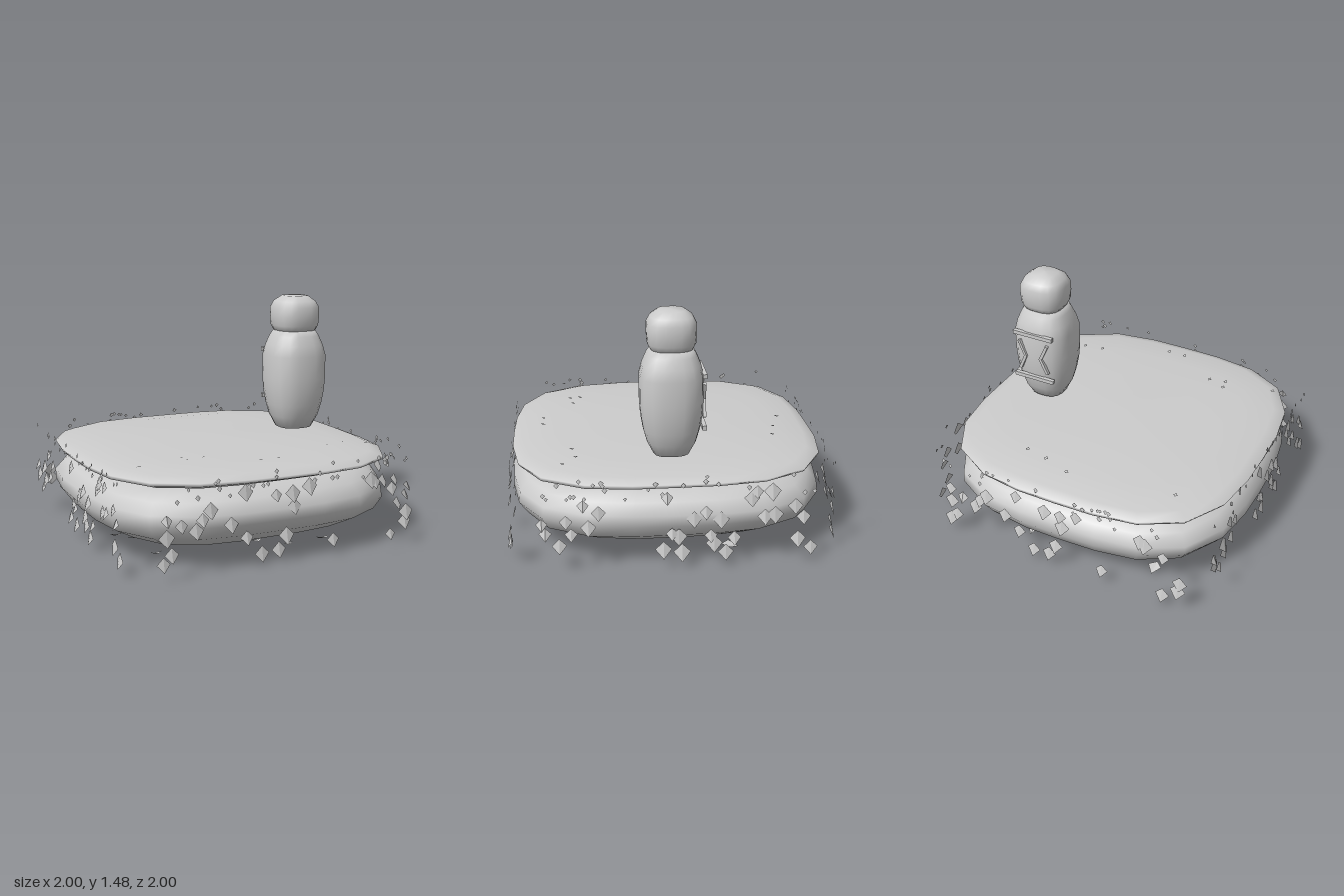
import * as THREE from 'three';

const material = new THREE.MeshStandardMaterial({ color: 0xcccccc });
const thinMaterial = new THREE.MeshStandardMaterial({ color: 0xcccccc, side: THREE.DoubleSide });

let seed = 7;
const rand = (a, b) => {
  seed = (seed * 16807) % 2147483647;
  return a + (b - a) * (seed / 2147483647);
};

// Rounded-square cross-sections stacked along y; profile rows are [radius, y].
function loft(name, profile, sides, power, lump = 0) {
  const pos = [], idx = [];
  profile.forEach(([r, y], i) => {
    for (let j = 0; j < sides; j++) {
      const a = (j / sides) * Math.PI * 2, c = Math.cos(a), s = Math.sin(a);
      const k = r * (Math.abs(c) ** power + Math.abs(s) ** power) ** (-1 / power)
        * (1 + lump * Math.sin(3 * a + i * 1.3));
      pos.push(k * c, y, -k * s);
      if (i === 0) continue;
      const n = (j + 1) % sides, lo = (i - 1) * sides, hi = i * sides;
      idx.push(lo + j, lo + n, hi + n, lo + j, hi + n, hi + j);
    }
  });
  const geo = new THREE.BufferGeometry();
  geo.setAttribute('position', new THREE.Float32BufferAttribute(pos, 3));
  geo.setIndex(idx);
  geo.computeVertexNormals();
  const mesh = new THREE.Mesh(geo, material);
  mesh.name = name;
  return mesh;
}

// Bent kites lying on a plane, with the lower corner lifted along the normal.
function shards(name, items) {
  const pos = [];
  for (const { at, normal, up, size, lift } of items) {
    const side = new THREE.Vector3().crossVectors(up, normal);
    const point = (s, u, n) => at.clone().addScaledVector(side, s * size)
      .addScaledVector(up, u * size).addScaledVector(normal, n);
    const top = point(0, 1, 0), left = point(-1, 0, 0), right = point(1, 0, 0), tip = point(0, -1.1, lift);
    for (const p of [top, left, tip, top, tip, right]) pos.push(p.x, p.y, p.z);
  }
  const geo = new THREE.BufferGeometry();
  geo.setAttribute('position', new THREE.Float32BufferAttribute(pos, 3));
  geo.computeVertexNormals();
  const mesh = new THREE.Mesh(geo, thinMaterial);
  mesh.name = name;
  return mesh;
}

function bar(name, a, b, thickness) {
  const from = new THREE.Vector3(...a), to = new THREE.Vector3(...b);
  const mesh = new THREE.Mesh(new THREE.BoxGeometry(thickness, from.distanceTo(to) + thickness * 0.6, thickness), material);
  mesh.position.copy(from).lerp(to, 0.5);
  mesh.quaternion.setFromUnitVectors(new THREE.Vector3(0, 1, 0), to.sub(from).normalize());
  mesh.name = name;
  return mesh;
}

// Large shard centres as [across, height] pairs for two neighbouring walls.
const FRONT = [[-.76, .35], [-.67, .31], [-.58, .27], [-.54, .33], [-.49, .38], [-.36, .28], [-.27, .46],
  [-.26, .19], [-.16, .08], [-.05, .09], [0, .17], [-.07, .42], [.04, .42], [.05, .34], [.15, .45], [.32, .1],
  [.58, .44], [.61, .42], [.73, .37], [.84, .21], [.83, .15], [.73, .08], [-.73, .15], [-.78, .1], [-.76, .25]];
const SIDE = [[.79, .31], [.77, .25], [.69, .17], [.65, .32], [.62, .24], [.55, .42], [.52, .28], [.46, .37],
  [.06, .45], [.03, .22], [-.01, .2], [.08, .12], [-.03, .1], [-.1, .31], [-.17, .35], [-.26, .3], [-.2, .2],
  [-.22, .15], [-.34, .18], [-.29, .09], [-.44, .43], [-.47, .47], [-.56, .47], [-.52, .31], [-.58, .32],
  [-.7, .37], [-.75, .3], [-.72, .16], [-.8, .1]];
const TOP = [[-.66, -.66], [.03, -.76], [.21, -.7], [.36, -.67], [-.47, .53], [-.46, .6], [-.35, .58],
  [-.79, .64], [-.07, .78], [.05, .78], [.5, .6], [.63, .58], [.74, .66]];

export function createModel() {
  const model = new THREE.Group();
  model.name = 'stoneIsland';

  // Two cushion-shaped slabs
  model.add(loft('rockBase', [[0, .04], [.56, .04], [.78, .1], [.92, .18], [.97, .26], [.97, .33],
    [.92, .4], [.82, .45], [.6, .47], [0, .47]], 24, 3.3, 0.008));
  model.add(loft('turfSlab', [[0, .46], [.72, .46], [.88, .475], [.965, .505], [.97, .525],
    [.9, .55], [.7, .57], [.4, .58], [0, .587]], 24, 3.3, 0.006));

  // Standing figure
  const statue = new THREE.Group();
  statue.name = 'statue';
  statue.position.set(.585, 0, 0);
  statue.add(loft('body', [[0, .59], [.11, .59], [.15, .67], [.172, .75], [.187, .84], [.193, .93],
    [.193, 1.08], [.175, 1.15], [.15, 1.21], [.125, 1.25], [0, 1.25]], 20, 2.9));
  statue.add(loft('head', [[0, 1.24], [.125, 1.24], [.145, 1.28], [.15, 1.34], [.148, 1.4],
    [.127, 1.44], [.08, 1.475], [0, 1.48]], 20, 2.9));

  // Raised carving on the back
  const carving = new THREE.Group();
  carving.name = 'backCarving';
  carving.add(bar('upperBar', [-.135, 1.1, -.187], [.135, 1.1, -.187], .026));
  carving.add(bar('lowerBar', [-.135, .78, -.187], [.135, .78, -.187], .026));
  for (const s of [-1, 1]) {
    for (const y of [.84, 1.04]) carving.add(bar('chevronArm', [s * .1, y, -.19], [s * .055, .94, -.193], .02));
  }
  statue.add(carving);
  model.add(statue);

  // Shards floating on the four walls, below and on top
  const Y = new THREE.Vector3(0, 1, 0), Z = new THREE.Vector3(0, 0, 1);
  const rocks = [], chips = [];
  for (let w = 0; w < 4; w++) {
    const normal = Z.clone().applyAxisAngle(Y, w * Math.PI / 2);
    const across = new THREE.Vector3().crossVectors(Y, normal);
    const place = (u, y) => normal.clone().multiplyScalar(.972).addScaledVector(across, u).setY(y);
    for (const [u, y] of w % 2 ? SIDE : FRONT) {
      // the wall's own right-hand direction is reversed on the side pair
      rocks.push({ at: place(w % 2 ? -u : u, y), normal, up: Y, size: rand(.034, .052), lift: rand(.015, .028) });
    }
    for (let i = 0; i < 24; i++) {
      chips.push({ at: place(rand(-.82, .82), rand(.45, .58)), normal, up: Y, size: rand(.011, .017), lift: .006 });
    }
  }
  const down = new THREE.Vector3(0, -1, 0);
  for (let i = 0; i < 24; i++) {
    const at = new THREE.Vector3(rand(-.82, .82), .036, rand(-.82, .82));
    rocks.push({ at, normal: down, up: Z, size: rand(.036, .052), lift: rand(.02, .036) });
  }
  for (const [x, z] of TOP) {
    chips.push({ at: new THREE.Vector3(x, .588, z), normal: Y, up: Z.clone().negate(), size: .014, lift: .005 });
  }
  model.add(shards('rockShards', rocks), shards('turfChips', chips));
  return model;
}
